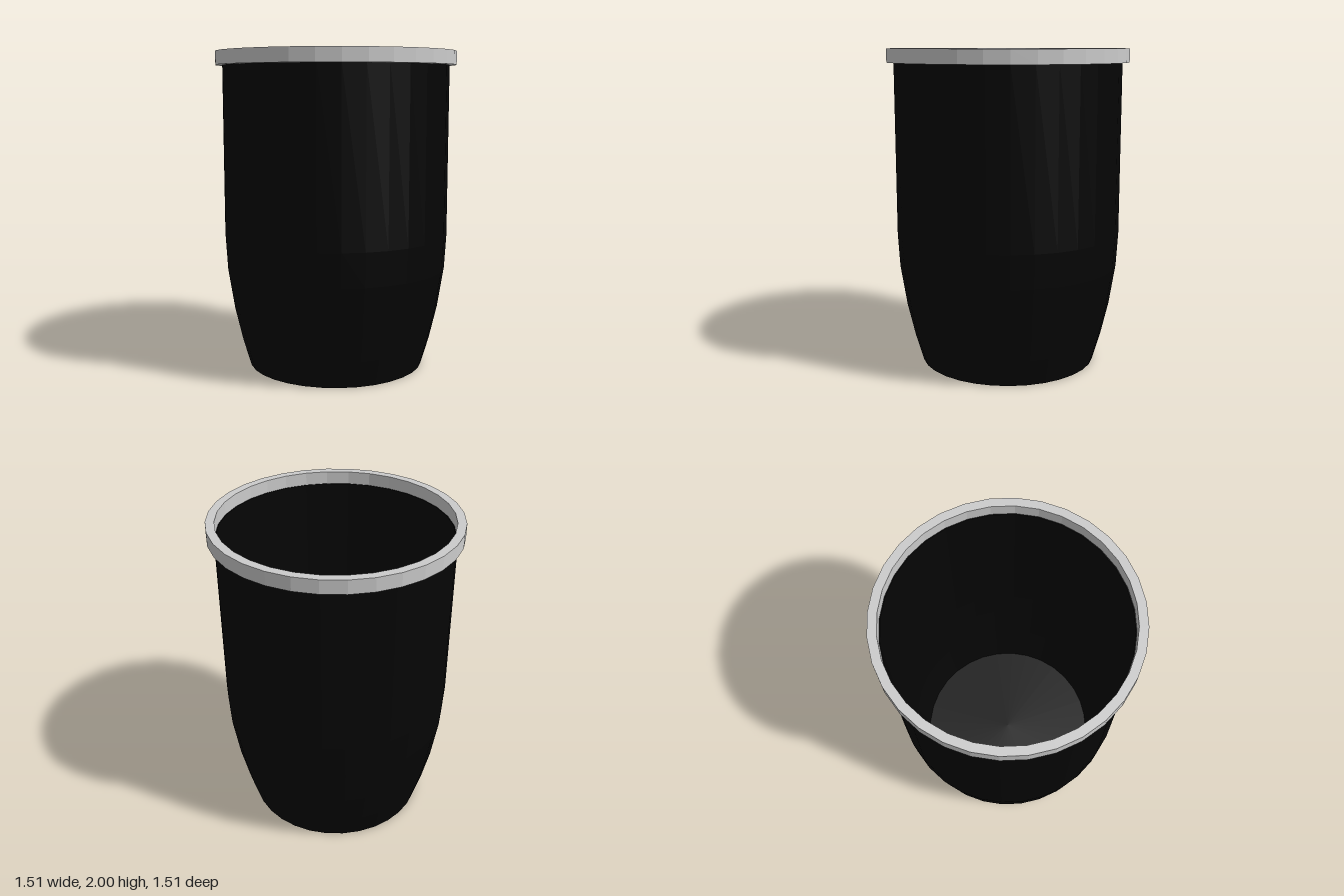
import * as THREE from 'three';

const SIDES = 32;

// Faceted solid of revolution from [radius, height] pairs
function turned(name, points, color) {
  const profile = points.map(([r, y]) => new THREE.Vector2(r, y));
  const material = new THREE.MeshStandardMaterial({ color, flatShading: true, side: THREE.DoubleSide });
  const mesh = new THREE.Mesh(new THREE.LatheGeometry(profile, SIDES), material);
  mesh.name = name;
  return mesh;
}

export function createModel() {
  const group = new THREE.Group();
  group.name = 'wasteBin';

  // Tapered container: base, outer wall, lip, inner wall, raised inner floor
  group.add(turned('container', [
    [0, 0], [0.56, 0], [0.61, 0.17], [0.66, 0.385], [0.7, 0.64], [0.712, 0.85], [0.712, 1.92],
    [0.697, 1.92], [0.697, 0.85], [0.685, 0.64], [0.645, 0.385], [0.595, 0.17], [0.578, 0.1], [0, 0.1],
  ], 0x050505));

  // Square-section ring around the opening
  group.add(turned('rimRing', [
    [0.702, 1.915], [0.755, 1.915], [0.755, 2], [0.702, 2], [0.702, 1.915],
  ], 0xcccccc));

  return group;
}
